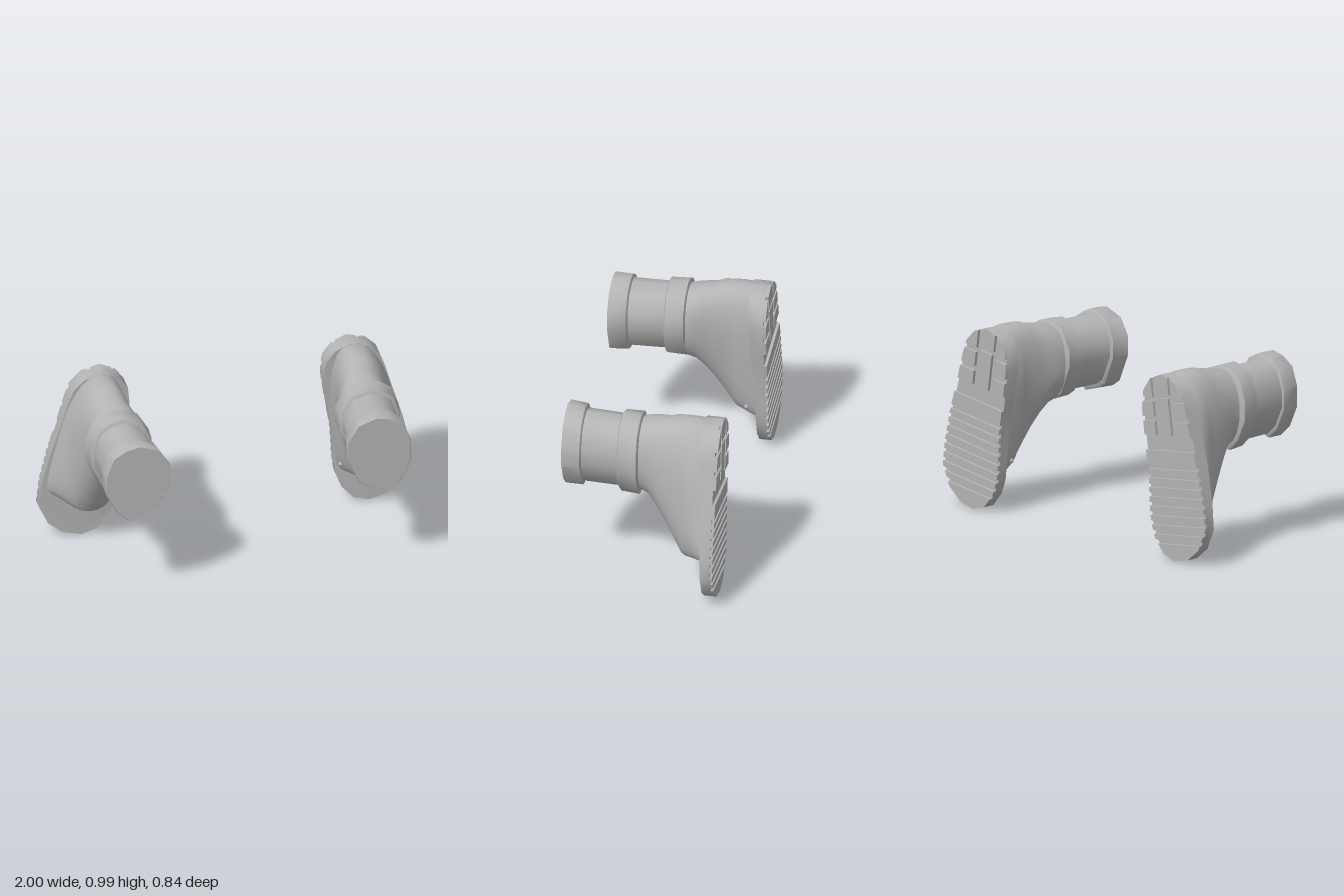
import * as THREE from 'three';
import { toCreasedNormals } from 'three/addons/utils/BufferGeometryUtils.js';

const grey = new THREE.MeshStandardMaterial({ color: 0xb4b4b4 });
grey.name = 'rubber grey';

// Outline of the sole for the boot on +x, counter-clockwise from the toe
const SOLE = [[0.77, 0], [0.87, 0.025], [0.95, 0.09], [1, 0.2], [0.985, 0.33], [0.945, 0.5], [0.89, 0.68],
  [0.85, 0.82], [0.82, 0.9], [0.76, 0.96], [0.66, 0.985], [0.58, 0.95], [0.53, 0.88], [0.52, 0.78], [0.545, 0.6],
  [0.57, 0.45], [0.58, 0.27], [0.59, 0.18], [0.62, 0.1], [0.685, 0.025]];

// Egg-shaped outline of the leg, as fractions of its half width and height
const EGG = [[1, -0.22], [1, 0.27], [0.77, 0.73], [0.36, 0.93], [-0.07, 1], [-0.65, 0.84], [-1, 0.4],
  [-1, -0.04], [-0.62, -0.71], [-0.33, -0.86], [0.3, -1], [0.68, -0.73]];

const eggRing = ([z, cx, cy, w, h]) => EGG.map(([x, y]) => [cx + x * w, cy + y * h, z]);

// Skin over rings ordered by rising z, closed at both ends
function loft(rings) {
  const n = rings[0].length, pos = rings.flat(2), index = [];
  for (let r = 0; r < rings.length - 1; r++) {
    for (let i = 0; i < n; i++) {
      const a = r * n + i, b = r * n + (i + 1) % n;
      index.push(a, b, b + n, a, b + n, a + n);
    }
  }
  [0, rings.length - 1].forEach((r) => {
    const c = pos.length / 3;
    for (let k = 0; k < 3; k++) pos.push(rings[r].reduce((s, p) => s + p[k], 0) / n);
    for (let i = 0; i < n; i++) {
      const a = r * n + i, b = r * n + (i + 1) % n;
      if (r === 0) index.push(c, b, a); else index.push(c, a, b);
    }
  });
  const g = new THREE.BufferGeometry();
  g.setAttribute('position', new THREE.Float32BufferAttribute(pos, 3));
  g.setIndex(index);
  return g;
}

// Keep the part of a polygon where a*x + b*y <= c
function clip(poly, [a, b, c]) {
  const out = [];
  poly.forEach((p, i) => {
    const q = poly[(i + 1) % poly.length];
    const dp = a * p[0] + b * p[1] - c, dq = a * q[0] + b * q[1] - c;
    if (dp <= 0) out.push(p);
    if (dp * dq < 0) {
      const t = dp / (dp - dq);
      out.push([p[0] + (q[0] - p[0]) * t, p[1] + (q[1] - p[1]) * t]);
    }
  });
  return out;
}

function slab(poly, z0, z1) {
  const shape = new THREE.Shape(poly.map(([x, y]) => new THREE.Vector2(x, y)));
  return new THREE.ExtrudeGeometry(shape, { depth: z1 - z0, bevelEnabled: false }).translate(0, 0, z0);
}

// Mirror a non-indexed geometry in x and keep its faces outward
function mirrorX(g) {
  for (const [name, attr] of Object.entries(g.attributes)) {
    const s = attr.itemSize, d = attr.array;
    for (let t = 0; t < attr.count; t += 3) {
      for (let k = 0; k < s; k++) {
        const i = (t + 1) * s + k, j = (t + 2) * s + k, v = d[i];
        d[i] = d[j];
        d[j] = v;
      }
    }
    if (name !== 'uv') for (let i = 0; i < d.length; i += s) d[i] *= -1;
  }
  return g;
}

// Foot cross-section: squared at the toe end, round at the heel
function footRing([z, yB, yT, cxB, cxT, wB, wT, e, tilt]) {
  const ring = [], n = 32;
  for (let i = 0; i < n; i++) {
    const t = (i / n) * Math.PI * 2, c = Math.cos(t), s = Math.sin(t);
    const p = s < 0 ? e : 0.85;
    const v = Math.sign(s) * Math.abs(s) ** p, u = Math.sign(c) * Math.abs(c) ** p;
    const k = (v + 1) / 2;
    const dx = u * (wB + (wT - wB) * k);
    ring.push([cxB + (cxT - cxB) * k + dx, yB + (yT - yB) * k + tilt * dx * (1 - k), z]);
  }
  return ring;
}

function createBoot(side) {
  const boot = new THREE.Group();
  const add = (name, geometry, crease = 0.7) => {
    let g = toCreasedNormals(geometry, crease);
    if (side < 0) g = mirrorX(g);
    const mesh = new THREE.Mesh(g, grey);
    mesh.name = name;
    boot.add(mesh);
  };

  // Leg with a cuff at its end and a band at the ankle
  add('legShaft', loft([[0.05, 0.668, 0.745, 0.145, 0.197], [0.125, 0.665, 0.745, 0.143, 0.197],
    [0.33, 0.655, 0.748, 0.15, 0.197]].map(eggRing)));
  add('legCuff', loft([[0.315, 0.652, 0.746, 0.154, 0.21], [0.322, 0.652, 0.746, 0.163, 0.22],
    [0.412, 0.645, 0.748, 0.172, 0.223], [0.418, 0.645, 0.748, 0.168, 0.219]].map(eggRing)));
  add('ankleBand', loft([[0.013, 0.67, 0.74, 0.16, 0.214], [0.02, 0.67, 0.74, 0.169, 0.225],
    [0.118, 0.665, 0.742, 0.16, 0.222], [0.125, 0.665, 0.742, 0.152, 0.212]].map(eggRing)));

  // Foot, flaring from the ankle down to the sole, cut flat at the toe
  add('footUpper', loft([
    [-0.35, 0.225, 0.975, 0.785, 0.675, 0.195, 0.145, 0.3, 0.24],
    [-0.31, 0.225, 0.985, 0.78, 0.675, 0.185, 0.15, 0.4, 0.24],
    [-0.27, 0.215, 0.987, 0.77, 0.675, 0.165, 0.155, 0.55, 0.2],
    [-0.24, 0.21, 0.987, 0.76, 0.675, 0.145, 0.157, 0.65, 0.12],
    [-0.22, 0.215, 0.986, 0.755, 0.675, 0.13, 0.157, 0.75, 0.06],
    [-0.17, 0.305, 0.982, 0.735, 0.673, 0.13, 0.153, 0.8, 0],
    [-0.13, 0.375, 0.968, 0.72, 0.67, 0.13, 0.145, 0.85, 0],
    [-0.08, 0.45, 0.962, 0.7, 0.665, 0.13, 0.142, 0.9, 0],
    [-0.03, 0.515, 0.953, 0.675, 0.662, 0.135, 0.143, 0.95, 0],
    [0.01, 0.53, 0.94, 0.668, 0.662, 0.14, 0.143, 1, 0],
    [0.03, 0.535, 0.935, 0.668, 0.662, 0.14, 0.143, 1, 0],
  ].map(footRing), 0.85));

  // Small stud on the inner side of the toe
  add('toeStud', new THREE.SphereGeometry(0.014, 10, 8).translate(0.605, 0.27, -0.3));

  // Sole, thickening toward the heel
  const sole = slab(SOLE, -0.402, -0.35), p = sole.attributes.position;
  for (let i = 0; i < p.count; i++) {
    if (p.getZ(i) > -0.38) p.setZ(i, -0.352 + 0.037 * THREE.MathUtils.clamp((p.getY(i) - 0.25) / 0.7, 0, 1));
  }
  add('sole', sole);

  // Cross bars under the front of the foot, square to its slanted axis
  const slope = 0.13, cuts = [-0.2, 0, 0.05, 0.1, 0.15, 0.2, 0.25, 0.3, 0.35, 0.4, 0.5];
  for (let i = 0; i < cuts.length - 1; i++) {
    const lo = cuts[i] + 0.01, hi = cuts[i + 1] - 0.01;
    add('treadBar', slab(clip(clip(SOLE, [-slope, 1, hi]), [slope, -1, -lo]), -0.417, -0.402));
  }

  // Heel lugs: a centre block, a top block and three on each side
  const lean = 0.15, mid = 0.68 + lean * 0.8;
  const lug = (lo, hi, uMin, uMax) => add('heelLug', slab([
    [-slope, 1, hi], [slope, -1, -lo], [1, lean, mid + uMax], [-1, -lean, -mid - uMin],
  ].reduce((poly, line) => clip(poly, line), SOLE), -0.417, -0.402));
  lug(0.57, 0.77, -0.045, 0.045);
  lug(0.79, 1, -0.055, 0.055);
  for (const [lo, hi] of [[0.57, 0.645], [0.67, 0.75], [0.775, 1]]) {
    lug(lo, hi, 0.075, 0.4);
    lug(lo, hi, -0.4, -0.075);
  }
  return boot;
}

export function createModel() {
  const model = new THREE.Group();
  for (const side of [1, -1]) {
    const boot = createBoot(side);
    boot.name = side > 0 ? 'leftBoot' : 'rightBoot';
    model.add(boot);
  }
  return model;
}
